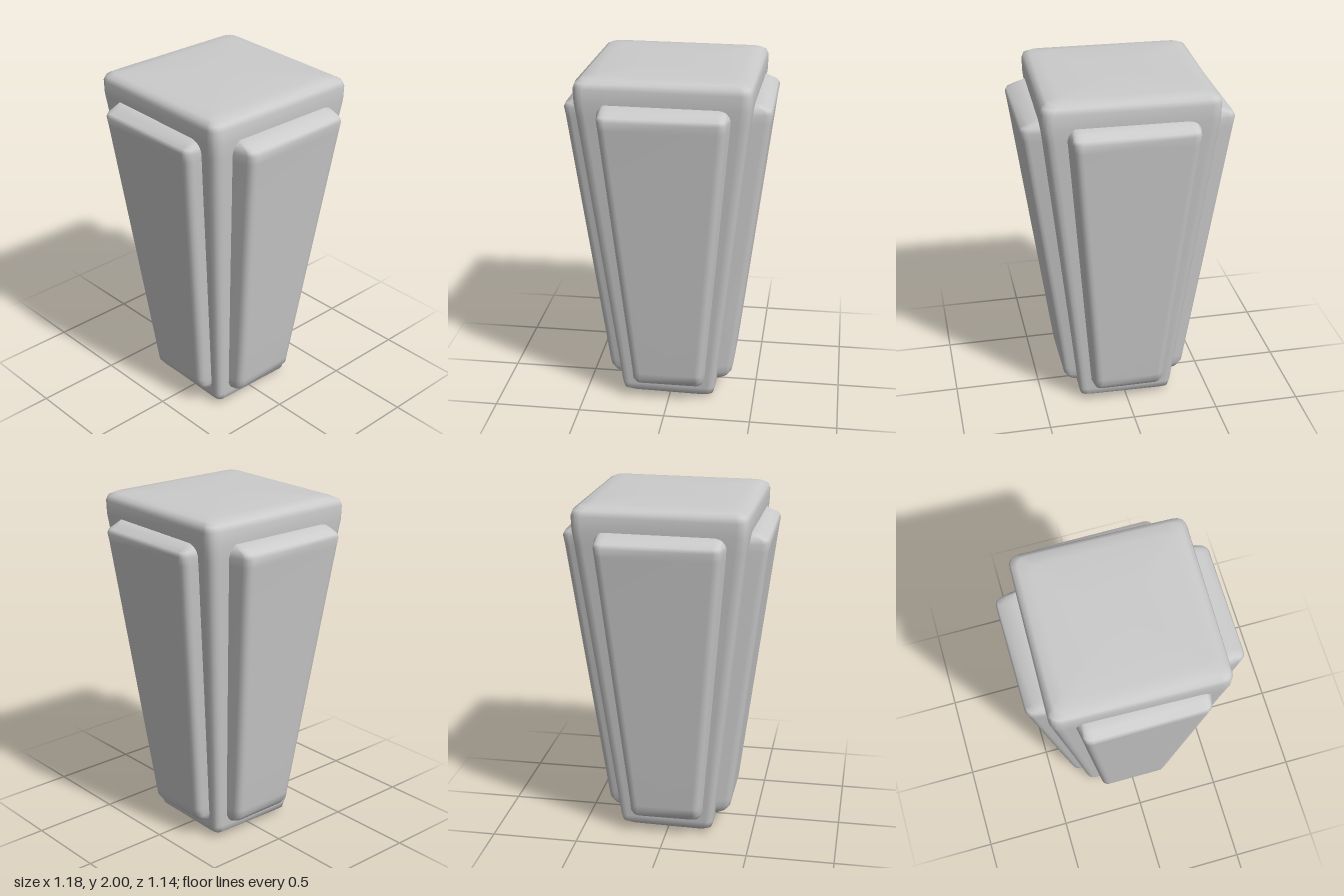
import * as THREE from 'three';

const material = new THREE.MeshStandardMaterial({ color: 0xcccccc });
const CORNER_STEPS = 4;

// Trapezoid outline with rounded corners, ordered counter-clockwise seen from above.
function outline([y, inner, outer, z0, z1, r]) {
  const corners = [[outer, z1], [inner, z0], [-inner, z0], [-outer, z1]]
    .map(([x, z]) => new THREE.Vector3(x, y, z));
  const points = [];
  corners.forEach((c, i) => {
    const prev = corners[(i + 3) % 4], next = corners[(i + 1) % 4];
    const a = c.clone().add(prev.clone().sub(c).setLength(r));
    const b = c.clone().add(next.clone().sub(c).setLength(r));
    const bend = new THREE.QuadraticBezierCurve3(a, c, b);
    points.push(...bend.getPoints(CORNER_STEPS));
  });
  return points;
}

// Smooth skin through a stack of outlines from bottom to top, closed at both ends.
function loft(rings) {
  const rows = rings.map(outline);
  const n = rows[0].length;
  const points = rows.flat();
  const index = [];
  for (let j = 0; j < rows.length - 1; j++) {
    for (let i = 0; i < n; i++) {
      const a = j * n + i, b = j * n + (i + 1) % n;
      index.push(a, b, b + n, a, b + n, a + n);
    }
  }
  const centre = (ring) => new THREE.Vector3(0, ring[0], (ring[3] + ring[4]) / 2);
  const bottom = points.length, top = bottom + 1, last = (rows.length - 1) * n;
  points.push(centre(rings[0]), centre(rings[rings.length - 1]));
  for (let i = 0; i < n; i++) {
    const k = (i + 1) % n;
    index.push(bottom, k, i, top, last + i, last + k);
  }
  const geometry = new THREE.BufferGeometry().setFromPoints(points);
  geometry.setIndex(index);
  geometry.computeVertexNormals();
  return geometry;
}

function addMesh(group, name, geometry) {
  const mesh = new THREE.Mesh(geometry, material);
  mesh.name = name;
  group.add(mesh);
  return mesh;
}

const square = (y, h, r) => [y, h, h, -h, h, r];

// Raised side panel: slopes out towards the top, bevelled all round.
function panelGeometry(reach) {
  const lerp = THREE.MathUtils.lerp;
  const rings = [
    [0.09, 0.19, 0.17, 0.1, 0.28, 0.03],
    [0.12, 0.23, 0.19, 0.1, 0.335, 0.035],
    [0.155, 0.25, 0.2, 0.1, 0.362, 0.035],
  ];
  for (let i = 0; i <= 6; i++) {
    const t = i / 6;
    rings.push([lerp(0.2, 1.75, t), lerp(0.26, 0.4, t), lerp(0.2, 0.335, t),
      lerp(0.1, 0.25, t), lerp(0.372, reach - 0.008, t), 0.04]);
  }
  rings.push(
    [1.8, 0.4, 0.34, 0.25, reach, 0.04],
    [1.822, 0.4, 0.335, 0.25, reach - 0.01, 0.04],
    [1.84, 0.39, 0.33, 0.25, reach - 0.05, 0.04],
    [1.86, 0.38, 0.32, 0.25, 0.49, 0.04],
  );
  return loft(rings);
}

export function createModel() {
  const group = new THREE.Group();
  group.name = 'taperedBlock';

  // Tapered square core with a straight softened cap
  const core = addMesh(group, 'core', loft([
    square(0.005, 0.18, 0.04),
    square(0.015, 0.235, 0.04),
    square(0.04, 0.268, 0.04),
    square(0.08, 0.278, 0.045),
    square(0.5, 0.325, 0.05),
    square(1.0, 0.382, 0.055),
    square(1.5, 0.44, 0.06),
    square(1.78, 0.472, 0.06),
    square(1.86, 0.482, 0.06),
    square(1.94, 0.484, 0.06),
    square(1.97, 0.474, 0.06),
    square(1.987, 0.445, 0.06),
    square(1.995, 0.38, 0.06),
    square(2.0, 0.2, 0.04),
  ]));
  core.rotation.y = -0.025;

  // One panel on each side
  ['frontPanel', 'leftPanel', 'backPanel', 'rightPanel'].forEach((name, i) => {
    const panel = addMesh(group, name, panelGeometry(i % 2 ? 0.592 : 0.572));
    panel.rotation.y = i * Math.PI / 2;
  });

  return group;
}
